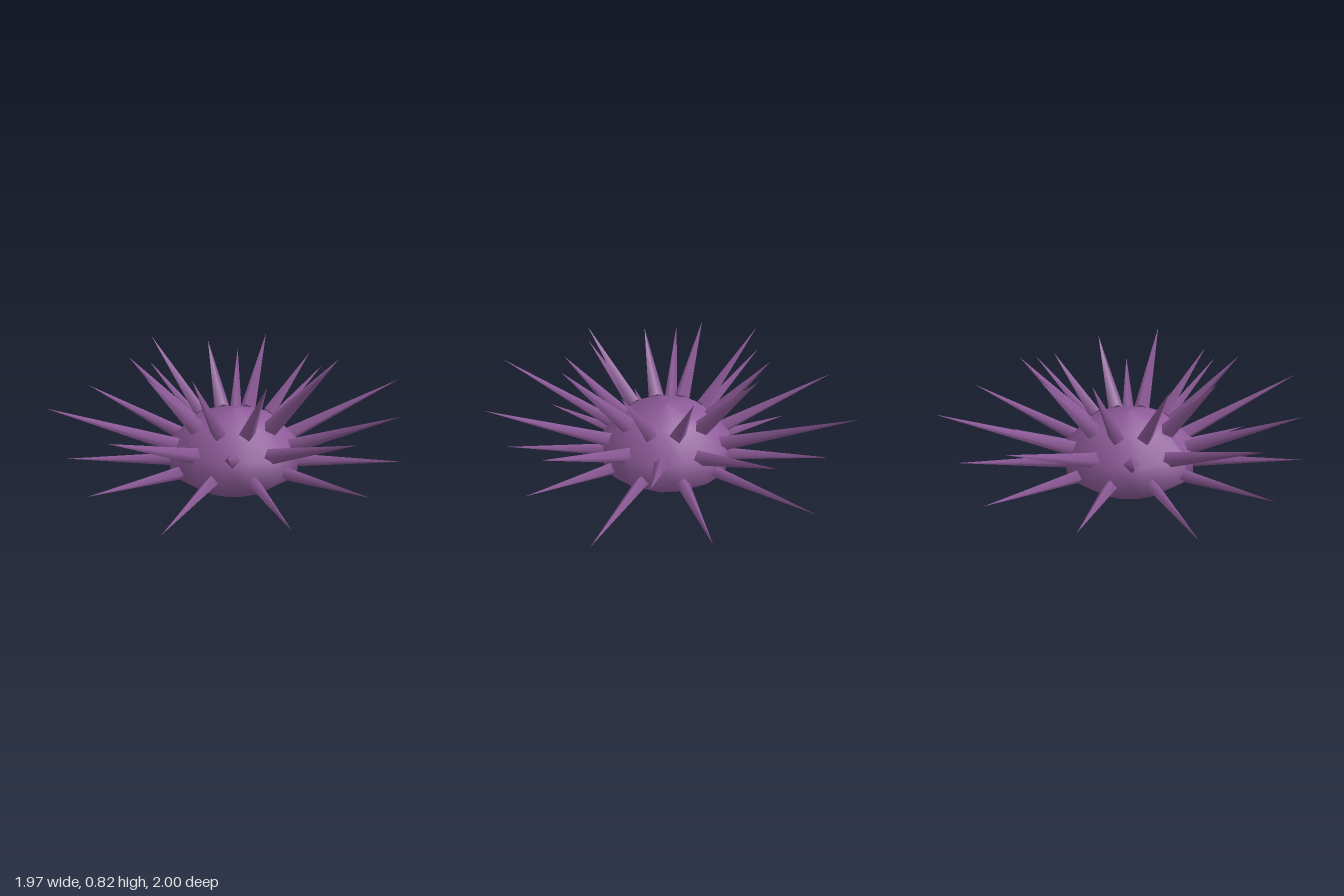
import * as THREE from 'three';

export function createModel() {
  const group = new THREE.Group();
  group.name = 'seaUrchin';
  const purple = new THREE.MeshStandardMaterial({ color: 0x8f5c9a });
  purple.name = 'urchinPurple';

  // Coarse round shell, flatter below its widest level than above
  const shell = new THREE.SphereGeometry(1, 16, 5);
  const p = shell.attributes.position;
  for (let i = 0; i < p.count; i++) {
    const y = p.getY(i);
    p.setXYZ(i, p.getX(i) * 0.39, 0.2 + y * (y > 0 ? 0.285 : 0.2), p.getZ(i) * 0.39);
  }
  shell.computeVertexNormals();
  const body = new THREE.Mesh(shell, purple);
  body.name = 'body';
  group.add(body);

  // Three rings of ten spines: base and shortest tip as [radius, height],
  // growth of the tip per length step, and the starting length step
  const rings = [
    { name: 'lowerSpine', base: [0.34, 0.175], tip: [0.885, 0.17], grow: [0.03, 0], width: 0.041, turn: 0, first: 1 },
    { name: 'middleSpine', base: [0.33, 0.295], tip: [0.935, 0.537], grow: [0.0335, 0.0135], width: 0.044, turn: 0.5, first: 3 },
    { name: 'upperSpine', base: [0.25, 0.415], tip: [0.55, 0.74], grow: [0.019, 0.021], width: 0.047, turn: 0, first: 0 },
  ];
  for (const ring of rings) {
    for (let i = 0; i < 10; i++) {
      const step = (ring.first + 2 * i) % 5;
      const dr = ring.tip[0] + ring.grow[0] * step - ring.base[0];
      const dy = ring.tip[1] + ring.grow[1] * step - ring.base[1];
      const length = Math.hypot(dr, dy);
      // Four-sided cone from its base along +z, tilted up, then turned about y
      const cone = new THREE.ConeGeometry(ring.width, length, 4);
      cone.translate(0, length / 2, 0);
      cone.rotateX(Math.PI / 2 - Math.atan2(dy, dr));
      cone.translate(0, ring.base[1], ring.base[0]);
      const angle = (i + ring.turn) * Math.PI / 5;
      cone.rotateY(Math.PI / 2 - angle);
      const spine = new THREE.Mesh(cone, purple);
      spine.name = ring.name + (i + 1);
      group.add(spine);
    }
  }
  return group;
}
